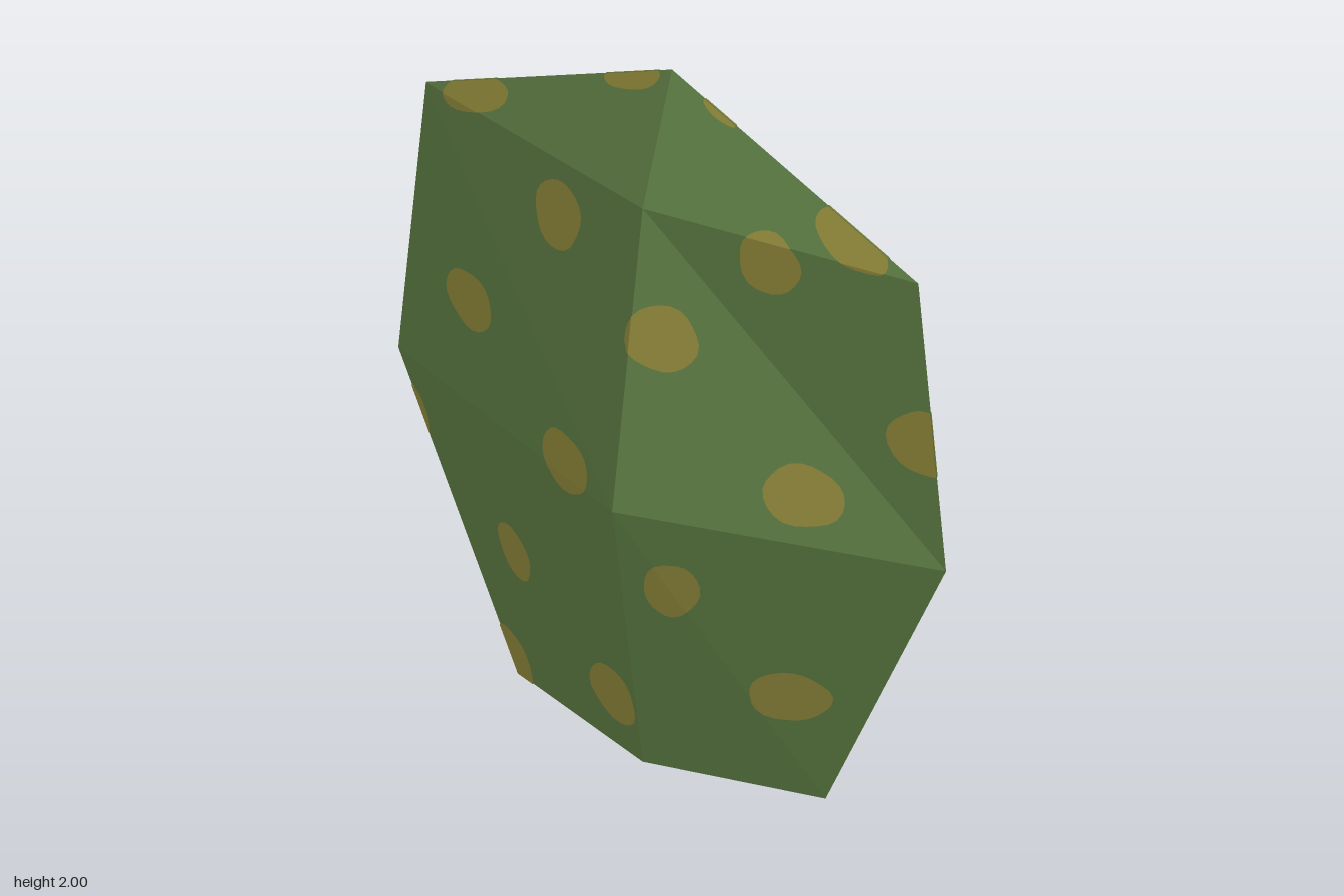
import * as THREE from 'three';

// Diamond-shaped rings: [height, half width, half depth]
const RINGS = [[0, 0.445, 0.125], [0.83, 0.795, 0.255], [1.66, 0.715, 0.125], [2, 0, 0]];

// Spots: [x, y, radius x, radius y, tilt]; the same on front and back
const SPOTS = [
  [-0.26, 1.52, 0.073, 0.092, 0], [0.33, 1.6, 0.08, 0.09, 0], [0.075, 1.32, 0.09, 0.09, 0],
  [-0.535, 1.13, 0.083, 0.08, 0], [-0.175, 0.87, 0.083, 0.088, 0], [0.445, 0.965, 0.098, 0.085, 0],
  [0.74, 1.19, 0.1, 0.095, 0], [0.125, 0.605, 0.066, 0.09, -0.35], [-0.415, 0.415, 0.052, 0.083, 0.3],
  [0.385, 0.32, 0.105, 0.075, 0.4], [-0.085, 0.17, 0.083, 0.088, 0], [-0.745, 0.67, 0.04, 0.075, 0.4],
  [-0.45, 0.04, 0.055, 0.1, 0.3], [-0.56, 1.7, 0.105, 0.045, 0.45], [-0.11, 1.937, 0.09, 0.03, 0.45],
  [0.53, 1.715, 0.11, 0.055, -0.45], [0.14, 1.932, 0.05, 0.016, -0.45],
];

// Triangles of the front half, counter-clockwise
function frontTriangles() {
  const tris = [];
  const row = ([y, w, d]) => [[-w, y, 0], [0, y, d], [w, y, 0]];
  for (let i = 0; i < RINGS.length - 1; i++) {
    const lo = row(RINGS[i]), hi = row(RINGS[i + 1]);
    for (let s = 0; s < 2; s++) {
      tris.push([lo[s], lo[s + 1], hi[s]]);
      if (RINGS[i + 1][1] > 0) tris.push([lo[s + 1], hi[s + 1], hi[s]]);
    }
  }
  return tris;
}

// Slightly wobbly oval outline
function blob([cx, cy, rx, ry, tilt], seed) {
  const pts = [], c = Math.cos(tilt), s = Math.sin(tilt);
  for (let i = 0; i < 22; i++) {
    const a = (i / 22) * Math.PI * 2;
    const r = 1 + 0.035 * Math.sin(3 * a + seed * 1.7) + 0.02 * Math.sin(5 * a + seed);
    const x = Math.cos(a) * rx * r, y = Math.sin(a) * ry * r;
    pts.push([cx + x * c - y * s, cy + x * s + y * c]);
  }
  return pts;
}

// Cut a polygon to the inside of a triangle, seen from the front
function clip(poly, tri) {
  for (let e = 0; e < 3 && poly.length; e++) {
    const a = tri[e], b = tri[(e + 1) % 3], out = [];
    const side = (p) => (b[0] - a[0]) * (p[1] - a[1]) - (b[1] - a[1]) * (p[0] - a[0]);
    poly.forEach((p, i) => {
      const q = poly[(i + 1) % poly.length], sp = side(p), sq = side(q);
      if (sp >= 0) out.push(p);
      if (sp * sq < 0) {
        const t = sp / (sp - sq);
        out.push([p[0] + (q[0] - p[0]) * t, p[1] + (q[1] - p[1]) * t]);
      }
    });
    poly = out;
  }
  return poly;
}

// Depth of a triangle's plane at a point
function depthAt([a, b, c], [x, y]) {
  const n = new THREE.Vector3(b[0] - a[0], b[1] - a[1], b[2] - a[2])
    .cross(new THREE.Vector3(c[0] - a[0], c[1] - a[1], c[2] - a[2]));
  return a[2] - (n.x * (x - a[0]) + n.y * (y - a[1])) / n.z;
}

// Flat-shaded geometry from triangles, mirrored to the back
function mirroredGeometry(tris) {
  const pos = [];
  for (const [a, b, c] of tris) {
    pos.push(...a, ...b, ...c);
    for (const p of [a, c, b]) pos.push(p[0], p[1], -p[2]);
  }
  const g = new THREE.BufferGeometry();
  g.setAttribute('position', new THREE.Float32BufferAttribute(pos, 3));
  g.computeVertexNormals();
  return g;
}

export function createModel() {
  const group = new THREE.Group();
  group.name = 'spottedPad';
  const green = new THREE.MeshStandardMaterial({ color: 0x6b8e4e, side: THREE.DoubleSide, flatShading: true });
  green.name = 'leaf green';
  const ochre = new THREE.MeshStandardMaterial({ color: 0xa39a44, side: THREE.DoubleSide, flatShading: true });
  ochre.name = 'ochre spot';

  // Hollow faceted shell, open at the bottom
  const faces = frontTriangles();
  const shell = new THREE.Mesh(mirroredGeometry(faces), green);
  shell.name = 'shell';
  group.add(shell);

  // Spots folded over the facets, on the outside and the inside
  SPOTS.forEach((spot, n) => {
    const tris = [];
    for (const face of faces) {
      const poly = clip(blob(spot, n), face);
      for (const lift of [0.003, -0.003]) {
        const p = poly.map((q) => [q[0], q[1], depthAt(face, q) + lift]);
        for (let i = 1; i < p.length - 1; i++) tris.push([p[0], p[i], p[i + 1]]);
      }
    }
    const mesh = new THREE.Mesh(mirroredGeometry(tris), ochre);
    mesh.name = `spot${n + 1}`;
    group.add(mesh);
  });
  return group;
}
